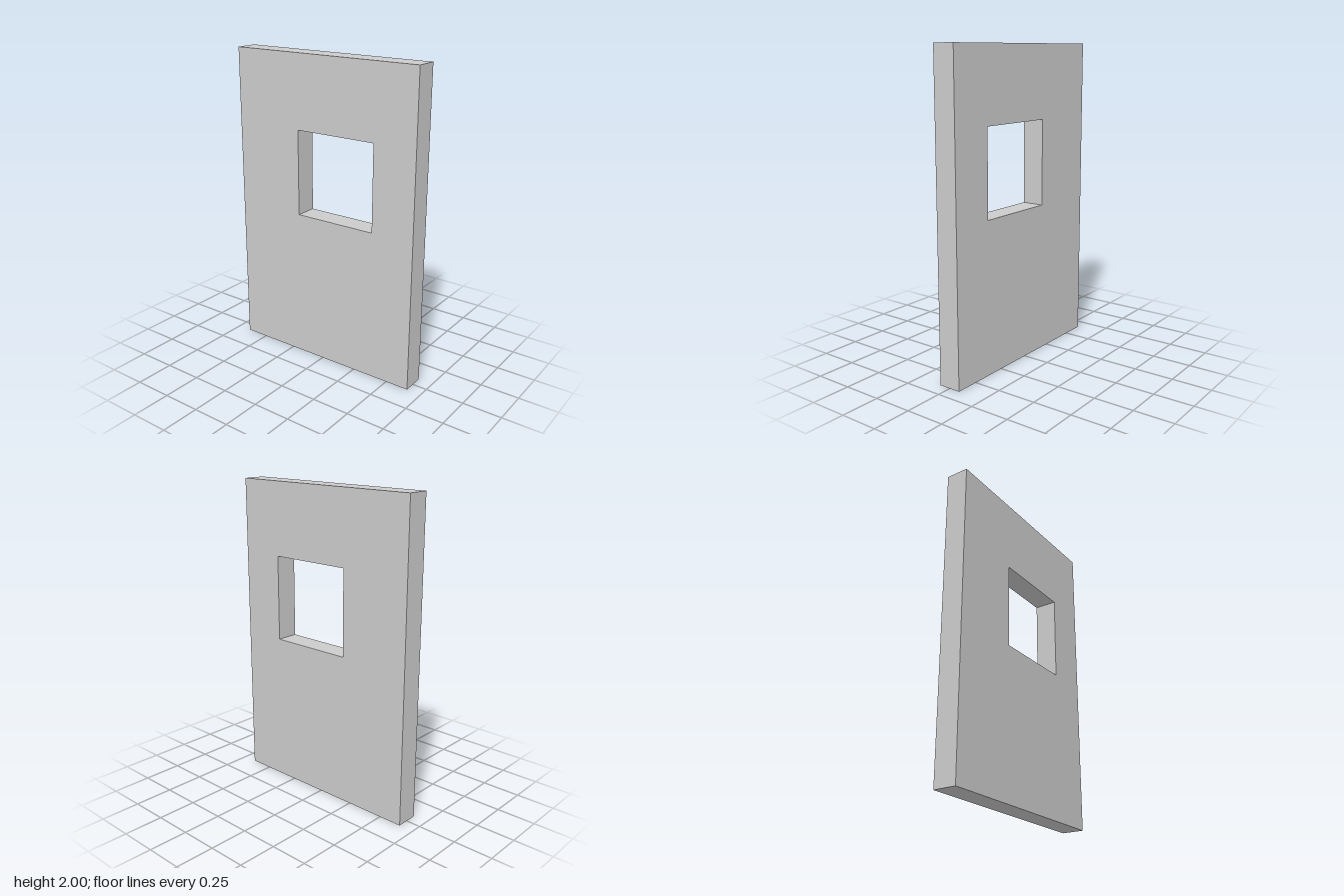
import * as THREE from 'three';

const WIDTH = 1.307, HEIGHT = 2, DEPTH = 0.145;
const OPENING = { left: -0.185, right: 0.369, bottom: 0.977, top: 1.529 };

// Trace a rectangle onto a shape or path
function rectangle(path, left, bottom, right, top) {
  path.moveTo(left, bottom);
  path.lineTo(right, bottom);
  path.lineTo(right, top);
  path.lineTo(left, top);
  path.closePath();
  return path;
}

export function createModel() {
  const group = new THREE.Group();
  group.name = 'wallWithWindowOpening';

  // Wall slab with an off-centre window opening
  const outline = rectangle(new THREE.Shape(), -WIDTH / 2, 0, WIDTH / 2, HEIGHT);
  const { left, right, bottom, top } = OPENING;
  outline.holes.push(rectangle(new THREE.Path(), left, bottom, right, top));

  const geometry = new THREE.ExtrudeGeometry(outline, { depth: DEPTH, bevelEnabled: false });
  geometry.translate(0, 0, -DEPTH / 2);

  const wall = new THREE.Mesh(
    geometry,
    new THREE.MeshStandardMaterial({ color: 0xcccccc, flatShading: true })
  );
  wall.name = 'wallPanel';
  group.add(wall);
  return group;
}
